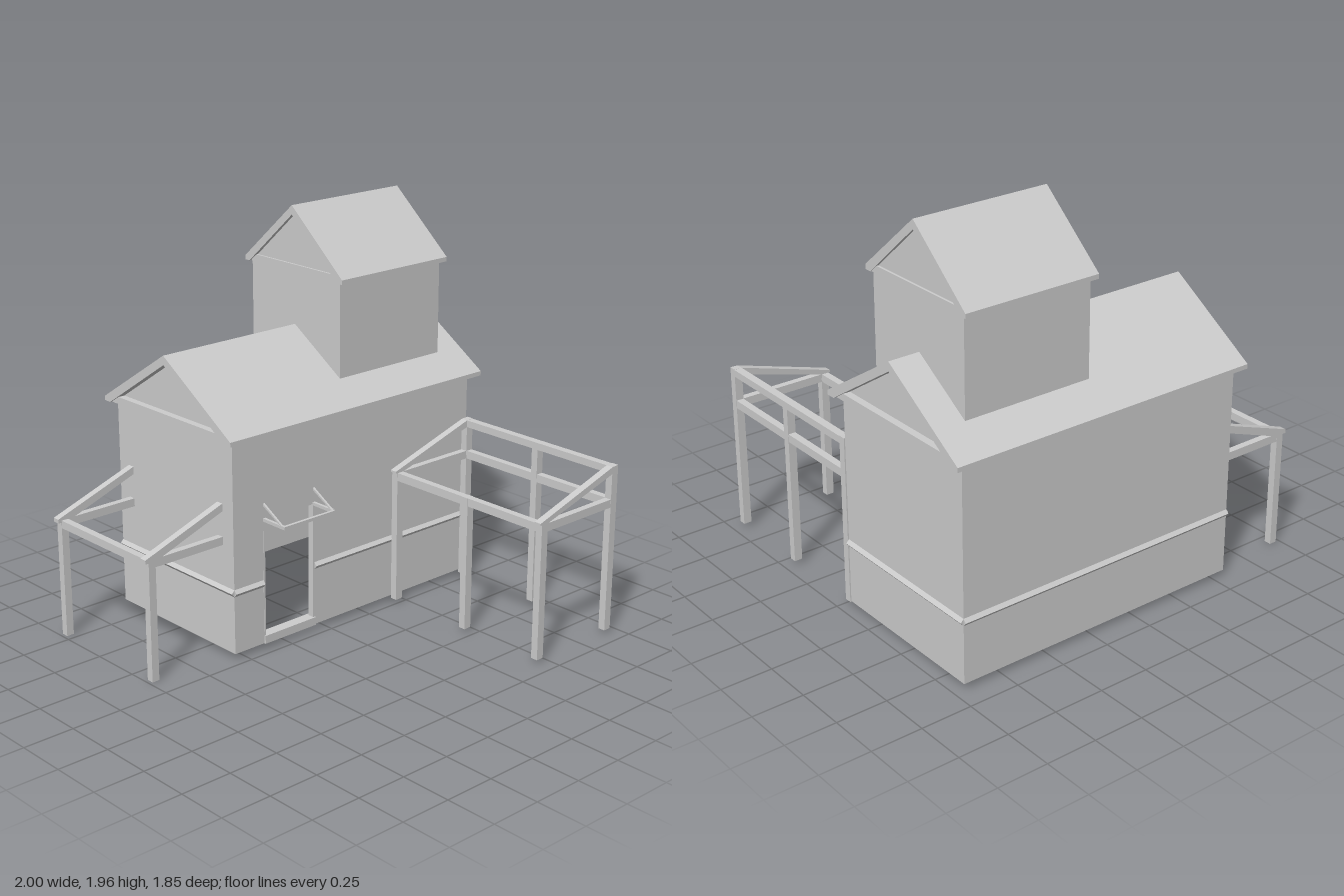
import * as THREE from 'three';

const mat = new THREE.MeshStandardMaterial({ color: 0xcccccc, flatShading: true, side: THREE.DoubleSide });

const shapeOf = (pts) => new THREE.Shape(pts.map(([x, y]) => new THREE.Vector2(x, y)));
const extrude = (pts, depth) => new THREE.ExtrudeGeometry(shapeOf(pts), { depth, bevelEnabled: false });

function add(group, name, geometry) {
  const mesh = new THREE.Mesh(geometry, mat);
  mesh.name = name;
  group.add(mesh);
  return mesh;
}

function box(group, name, x0, x1, y0, y1, z0, z1) {
  const m = add(group, name, new THREE.BoxGeometry(x1 - x0, y1 - y0, z1 - z0));
  m.position.set((x0 + x1) / 2, (y0 + y1) / 2, (z0 + z1) / 2);
  return m;
}

// Profile given as [z, y], extruded from x0 to x1
function alongX(group, name, pts, x0, x1) {
  const g = extrude(pts.map(([z, y]) => [-z, y]), x1 - x0);
  return add(group, name, g.rotateY(Math.PI / 2).translate(x0, 0, 0));
}

// Profile given as [x, y], extruded from z0 to z1
function alongZ(group, name, pts, z0, z1) {
  return add(group, name, extrude(pts, z1 - z0).translate(0, 0, z0));
}

// Pitched block: open-bottomed thin walls with gables, a roof slab and gable ties
function pitchedBlock(name, { x0, x1, zf, zb, y0, eave, inner, door, roof }) {
  const group = new THREE.Group();
  group.name = name;
  const mid = (zf + zb) / 2;

  const front = shapeOf([[x0, y0], [x1, y0], [x1, eave], [x0, eave]]);
  if (door) front.holes.push(new THREE.Path(door.map(([x, y]) => new THREE.Vector2(x, y))));
  add(group, 'frontWall', new THREE.ShapeGeometry(front)).position.z = zf;
  const back = new THREE.PlaneGeometry(x1 - x0, eave - y0).rotateY(Math.PI);
  add(group, 'backWall', back).position.set((x0 + x1) / 2, (y0 + eave) / 2, zb);

  const end = [[-zf, y0], [-zb, y0], [-zb, eave], [-mid, inner], [-zf, eave]];
  for (const [label, x, mirror] of [['leftWall', x1, 1], ['rightWall', x0, -1]]) {
    const g = new THREE.ShapeGeometry(shapeOf(end.map(([a, y]) => [a * mirror, y])));
    add(group, label, g.rotateY(mirror * Math.PI / 2)).position.x = x;
  }

  alongX(group, 'roof', [
    [roof.zf, eave], [roof.zf, eave + 0.022], [mid, roof.top], [roof.zb, eave + 0.022],
    [roof.zb, eave], [zb, eave], [mid, inner], [zf, eave],
  ], roof.x0, roof.x1);

  // Tie beam across the foot of each gable
  const inset = (zf - mid) * 0.035 / (inner - eave);
  const tie = [[zf, eave], [zf - inset, eave + 0.035], [zb + inset, eave + 0.035], [zb, eave]];
  const t = (roof.x1 - x1) * 0.7;
  alongX(group, 'gableTie', tie, x1, x1 + t);
  alongX(group, 'gableTie', tie, x0 - t, x0);
  return group;
}

// Pointed moulding around the walls
function makeBelt() {
  const group = new THREE.Group();
  group.name = 'beltMoulding';
  const runs = [
    [0.95, -0.045, -0.07, -0.045], [-0.385, -0.045, -0.56, -0.045],
    [-0.56, -0.045, -0.56, -0.89], [-0.56, -0.89, 0.95, -0.89], [0.95, -0.89, 0.95, -0.045],
  ];
  for (const [x0, z0, x1, z1] of runs) {
    const len = Math.hypot(x1 - x0, z1 - z0);
    const m = add(group, 'beltRun', extrude([[0, 0.315], [0.015, 0.333], [0, 0.35]], len));
    m.position.set(x0, 0, z0);
    m.rotation.y = Math.atan2(x1 - x0, z1 - z0);
  }
  return group;
}

// Door lining, sill and the small open awning frame above it
function makeDoorway() {
  const group = new THREE.Group();
  group.name = 'doorway';
  box(group, 'sill', -0.385, -0.07, 0.03, 0.07, -0.09, -0.035);
  for (const x of [-0.385, -0.08]) {
    box(group, 'jamb', x, x + 0.01, 0.07, 0.64, -0.075, -0.043);
    box(group, 'awningArm', x, x + 0.015, 0.64, 0.655, -0.045, 0.09);
    alongX(group, 'awningStay', [[0.09, 0.65], [0.075, 0.65], [-0.045, 0.715], [-0.045, 0.727]], x + 0.002, x + 0.012);
  }
  box(group, 'awningRail', -0.385, -0.075, 0.64, 0.655, 0.09, 0.105);
  return group;
}

// Open porch frame in front: six posts, long beams and sloping end frames
function makePorch() {
  const group = new THREE.Group();
  group.name = 'frontPorch';
  for (const z of [-0.018, 0.447, 0.905]) {
    box(group, 'lowPost', 0.43, 0.47, 0.02, 0.685, z - 0.018, z + 0.018);
    box(group, 'tallPost', 0.91, 0.95, 0.02, 0.82, z - 0.018, z + 0.018);
  }
  box(group, 'lowBeam', 0.432, 0.468, 0.645, 0.685, -0.036, 0.92);
  box(group, 'sideRail', 0.912, 0.948, 0.645, 0.685, -0.036, 0.92);
  box(group, 'topBeam', 0.91, 0.95, 0.81, 0.845, -0.036, 0.923);
  for (const z of [-0.018, 0.905]) {
    box(group, 'crossBeam', 0.47, 0.91, 0.645, 0.685, z - 0.017, z + 0.017);
    alongZ(group, 'rafter', [[0.42, 0.685], [0.47, 0.685], [0.91, 0.81], [0.95, 0.815], [0.95, 0.847], [0.91, 0.845], [0.42, 0.695]], z - 0.018, z + 0.018);
  }
  return group;
}

// Lean-to frame against the right wall
function makeLeanTo() {
  const group = new THREE.Group();
  group.name = 'sideLeanTo';
  for (const z of [-0.138, -0.803]) {
    box(group, 'post', -0.982, -0.944, 0, 0.58, z - 0.018, z + 0.018);
    box(group, 'crossBeam', -0.945, -0.55, 0.55, 0.59, z - 0.017, z + 0.017);
    alongZ(group, 'rafter', [[-1, 0.578], [-0.94, 0.578], [-0.55, 0.718], [-0.55, 0.755], [-1, 0.597]], z - 0.018, z + 0.018);
  }
  box(group, 'longBeam', -0.981, -0.945, 0.55, 0.588, -0.79, -0.15);
  return group;
}

export function createModel() {
  const model = new THREE.Group();
  model.name = 'barnWithTower';
  model.add(
    pitchedBlock('mainBuilding', {
      x0: -0.56, x1: 0.95, zf: -0.045, zb: -0.89, y0: 0.03, eave: 1.06, inner: 1.335,
      door: [[-0.385, 0.03], [-0.385, 0.645], [-0.07, 0.645], [-0.07, 0.03]],
      roof: { x0: -0.605, x1: 1, zf: 0, zb: -0.93, top: 1.38 },
    }),
    pitchedBlock('tower', {
      x0: 0.19, x1: 0.845, zf: -0.15, zb: -0.775, y0: 1.16, eave: 1.64, inner: 1.915,
      roof: { x0: 0.17, x1: 0.86, zf: -0.115, zb: -0.805, top: 1.96 },
    }),
    makeBelt(), makeDoorway(), makePorch(), makeLeanTo(),
  );
  return model;
}
